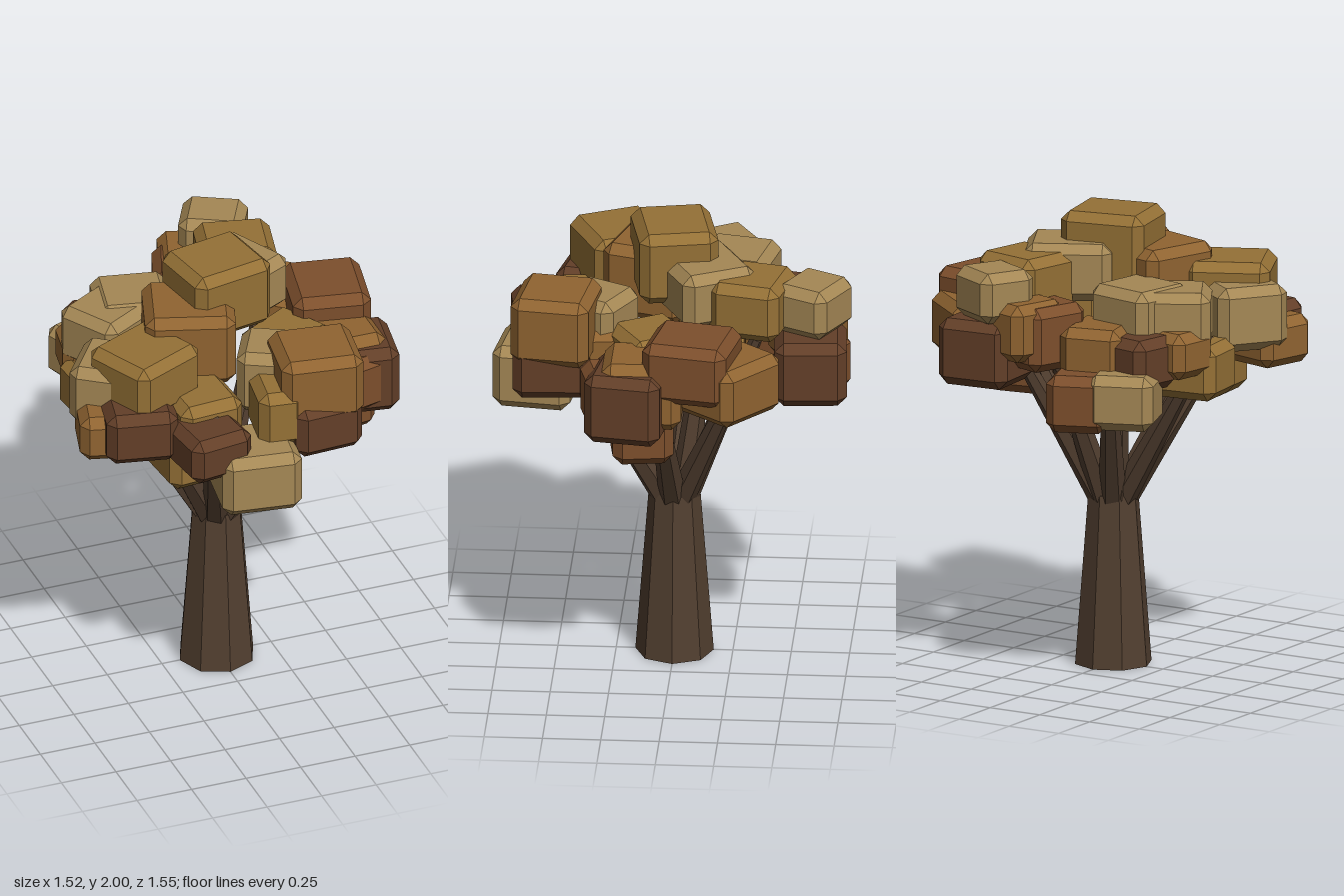
import * as THREE from 'three';
import { ConvexGeometry } from 'three/addons/geometries/ConvexGeometry.js';

const mat = (color) => new THREE.MeshStandardMaterial({ color, flatShading: true });

// Box with every edge and corner cut at 45 degrees
function chamferedBox(w, h, d, b) {
  const points = [];
  for (const sx of [-1, 1]) for (const sy of [-1, 1]) for (const sz of [-1, 1]) {
    const x = w / 2, y = h / 2, z = d / 2;
    points.push(
      new THREE.Vector3(sx * x, sy * (y - b), sz * (z - b)),
      new THREE.Vector3(sx * (x - b), sy * y, sz * (z - b)),
      new THREE.Vector3(sx * (x - b), sy * (y - b), sz * z));
  }
  return new ConvexGeometry(points);
}

// Tapered limb between two points
function limb(from, to, r0, r1, material) {
  const dir = to.clone().sub(from);
  const mesh = new THREE.Mesh(new THREE.CylinderGeometry(r1, r0, dir.length(), 6), material);
  mesh.position.copy(from).add(to).multiplyScalar(0.5);
  mesh.quaternion.setFromUnitVectors(new THREE.Vector3(0, 1, 0), dir.normalize());
  return mesh;
}

// Leaf blocks by colour: [x, z, bottom, top, width, depth, turn in degrees]
const LEAVES = {
  olive: [
    [0, 0, 1.68, 2.0, 0.38, 0.34, 11],
    [0.22, -0.35, 1.6, 1.85, 0.33, 0.31, -13],
    [-0.43, 0.26, 1.53, 1.79, 0.37, 0.35, 25],
    [-0.22, 0.38, 1.35, 1.59, 0.29, 0.3, 4],
    [-0.24, 0.34, 1.16, 1.42, 0.32, 0.28, 5],
    [0.29, 0.08, 1.38, 1.62, 0.31, 0.3, 30],
    [-0.48, -0.12, 1.26, 1.5, 0.3, 0.27, 6],
    [0.08, 0.5, 1.38, 1.64, 0.2, 0.28, -8],
    [-0.24, -0.3, 1.17, 1.42, 0.28, 0.26, 5],
  ],
  light: [
    [0.13, -0.14, 1.63, 1.88, 0.38, 0.34, 27],
    [0.22, -0.61, 1.61, 1.83, 0.28, 0.26, -28],
    [-0.29, -0.25, 1.5, 1.75, 0.33, 0.32, -12],
    [-0.43, -0.19, 1.48, 1.74, 0.31, 0.31, 30],
    [-0.54, 0.17, 1.43, 1.71, 0.32, 0.32, -36],
    [-0.38, -0.52, 1.19, 1.43, 0.29, 0.28, 20],
    [0.13, 0.32, 1.43, 1.72, 0.28, 0.28, -28],
    [-0.05, 0.59, 1.14, 1.42, 0.35, 0.34, -8],
  ],
  orange: [
    [-0.16, 0.085, 1.53, 1.86, 0.39, 0.37, -18],
    [0.265, 0.49, 1.48, 1.78, 0.36, 0.34, -8],
    [0.53, 0.1, 1.3, 1.6, 0.31, 0.34, 0],
    [0.51, -0.26, 1.34, 1.6, 0.36, 0.34, -40],
    [0.1, -0.58, 1.45, 1.7, 0.27, 0.29, -18],
    [-0.2, -0.43, 1.33, 1.6, 0.28, 0.31, 12],
    [0.19, 0.28, 1.36, 1.6, 0.26, 0.24, 8],
    [-0.48, -0.27, 1.38, 1.58, 0.26, 0.24, -10],
    [-0.6, 0.29, 1.34, 1.55, 0.28, 0.28, -15],
  ],
  brown: [
    [0.545, -0.11, 1.43, 1.7, 0.34, 0.37, -11],
    [0.03, -0.51, 1.4, 1.68, 0.24, 0.3, -20],
    [-0.2, -0.58, 1.17, 1.42, 0.27, 0.28, 20],
    [0.5, 0.11, 1.12, 1.4, 0.29, 0.26, 8],
    [0.36, 0.19, 1.18, 1.42, 0.28, 0.26, -20],
    [0.55, 0.21, 1.28, 1.54, 0.3, 0.28, 14],
  ],
  dark: [
    [0.27, -0.6, 1.32, 1.61, 0.33, 0.31, 4],
    [0.57, 0.16, 1.25, 1.56, 0.34, 0.33, -9],
    [0.265, 0.51, 1.32, 1.56, 0.31, 0.33, 3],
    [-0.25, 0.57, 1.32, 1.53, 0.29, 0.28, 8],
    [-0.5, 0.37, 1.35, 1.59, 0.31, 0.29, -12],
    [-0.38, -0.42, 1.34, 1.57, 0.27, 0.25, -12],
  ],
};
const COLORS = { olive: 0x957136, light: 0xa58855, orange: 0x906431, brown: 0x7d4f2c, dark: 0x633f28 };

export function createModel() {
  const tree = new THREE.Group();
  tree.name = 'tree';
  const bark = mat(0x523f30);

  // Trunk
  const trunk = new THREE.Mesh(new THREE.CylinderGeometry(0.11, 0.168, 0.75, 8), bark);
  trunk.name = 'trunk';
  trunk.position.y = 0.375;
  tree.add(trunk);

  // Branches fanning out from the trunk top: [tip x, tip y, tip z]
  const branches = new THREE.Group();
  branches.name = 'branches';
  const tips = [
    [0.48, 1.4, 0.05], [0.32, 1.45, -0.32], [0.1, 1.5, -0.36], [-0.2, 1.4, -0.36],
    [-0.53, 1.5, -0.07], [-0.4, 1.42, 0.26], [-0.22, 1.53, 0.53], [0.25, 1.45, 0.42],
    [-0.13, 1.6, -0.15],
  ];
  for (const [x, y, z] of tips) {
    const r = Math.hypot(x, z);
    const root = new THREE.Vector3(x / r * 0.05, 0.73, z / r * 0.05);
    const branch = limb(root, new THREE.Vector3(x, y, z), 0.06, 0.028, bark);
    branch.name = 'branch';
    branches.add(branch);
  }
  tree.add(branches);

  // Foliage
  const foliage = new THREE.Group();
  foliage.name = 'foliage';
  for (const [tone, blocks] of Object.entries(LEAVES)) {
    const material = mat(COLORS[tone]);
    for (const [x, z, y0, y1, w, d, turn] of blocks) {
      const block = new THREE.Mesh(chamferedBox(w, y1 - y0, d, 0.04), material);
      block.name = 'leafBlock';
      block.position.set(x, (y0 + y1) / 2, z);
      block.rotation.y = THREE.MathUtils.degToRad(turn);
      foliage.add(block);
    }
  }
  tree.add(foliage);
  return tree;
}
